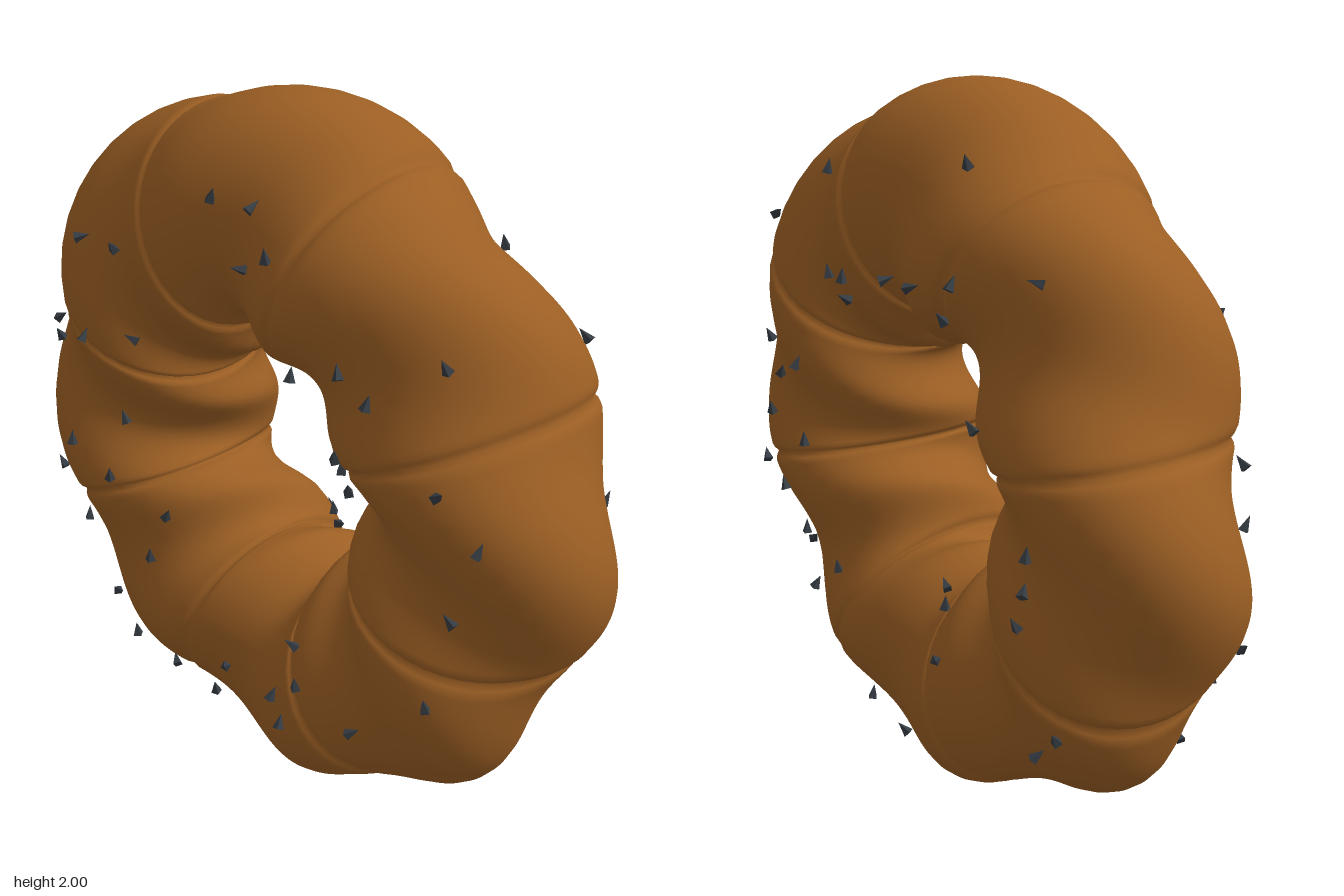
import * as THREE from 'three';
import { mergeVertices } from 'three/addons/utils/BufferGeometryUtils.js';

const RING = 0.648;     // radius of the tube's centre line
const FLAT = 0.91;      // tube is slightly flattened front to back
const CREASE = THREE.MathUtils.degToRad(27);
const STEP = Math.PI / 4;

// Tube radius: eight swirling lumps, plus a slower sway
function tubeRadius(theta, phi) {
  return 0.321 + 0.029 * Math.cos(8 * theta - 2 * phi) + 0.014 * Math.sin(4 * theta - phi);
}

// Depth of the eight narrow grooves that divide the ring
function groove(theta) {
  const offset = theta - CREASE;
  const d = offset - Math.round(offset / STEP) * STEP;
  return 0.017 * Math.exp(-((d / 0.016) ** 2));
}

function ringPoint(theta, phi, r) {
  const rho = RING + r * Math.cos(phi);
  return new THREE.Vector3(rho * Math.cos(theta), 1 + rho * Math.sin(theta), FLAT * r * Math.sin(phi));
}

function ringGeometry() {
  let geo = new THREE.TorusGeometry(RING, 0.3, 40, 360);
  geo.deleteAttribute('uv');
  geo.deleteAttribute('normal');
  geo = mergeVertices(geo);
  const pos = geo.attributes.position;
  for (let i = 0; i < pos.count; i++) {
    const x = pos.getX(i), y = pos.getY(i), z = pos.getZ(i);
    const theta = Math.atan2(y, x);
    const phi = Math.atan2(z, Math.hypot(x, y) - RING);
    const p = ringPoint(theta, phi, tubeRadius(theta, phi) - groove(theta));
    pos.setXYZ(i, p.x, p.y, p.z);
  }
  geo.computeVertexNormals();
  return geo;
}

// Seed places as x, height above the ring's centre
const FRONT_SEEDS = [
  -0.06, 0.78, 0.06, 0.78, 0.15, 0.7, 0.04, 0.63, 0.16, 0.37, -0.58, 0.5, -0.45, 0.52,
  -0.43, 0.26, -0.55, 0.24, -0.76, 0.18, -0.85, 0.07, -0.52, -0.04, -0.67, -0.15,
  -0.51, -0.2, -0.33, -0.28, -0.37, -0.42, -0.8, -0.31, -0.69, -0.44, -0.58, -0.67,
  -0.43, -0.7, -0.35, -0.8, -0.18, -0.81, -0.05, -0.64, 0.21, -0.56, 0.25, -0.62,
  0.25, -0.4, 0.3, -0.48, 0.48, -0.54, 0.73, -0.3, 0.76, -0.05, 0.85, 0.2, 0.75, 0.31,
  0.67, 0.58, 0.43, 0.51, 0.52, 0.46, 0.44, 0.29, 0.45, 0.18, 0.36, 0.18,
];
const BACK_SEEDS = [
  0.31, 0.46, 0.26, 0.4, 0.21, 0.48, 0.05, 0.51, -0.23, 0.85, -0.58, 0.66, -0.37, 0.62,
  -0.21, 0.57, -0.29, 0.51, -0.44, 0.28, 0.51, 0.13, 0.63, 0.06, 0.7, -0.08, 0.53, -0.12,
  0.58, -0.27, 0.55, -0.41, 0.51, -0.43, 0.38, -0.47, -0.06, -0.38, -0.15, -0.38,
  -0.27, -0.46, -0.68, 0.04, -0.67, -0.06, -0.66, -0.15, -0.75, -0.43, -0.67, -0.52,
  0.23, -0.81, 0.04, -0.83, 0.45, 0.68, 0.68, 0.5, 0.8, 0.1, 0.75, -0.25, 0.55, -0.6,
];

function addSeeds(group, places, side, geo, material) {
  for (let i = 0; i < places.length; i += 2) {
    const [x, y] = [places[i], places[i + 1]];
    const theta = Math.atan2(y, x), rho = Math.hypot(x, y);
    // Find the tube angle that lies under this place
    let phi = side * Math.PI / 2;
    for (let k = 0; k < 6; k++) {
      const c = (rho - RING) / tubeRadius(theta, phi);
      phi = side * Math.acos(THREE.MathUtils.clamp(c, -0.97, 0.97));
    }
    const seed = new THREE.Mesh(geo, material);
    seed.name = 'seed';
    seed.position.copy(ringPoint(theta, phi, tubeRadius(theta, phi) + 0.024));
    seed.rotation.set(0.5 * Math.sin(i * 2.3), i * 0.7, -0.35 + 0.7 * Math.sin(i * 1.7));
    group.add(seed);
  }
}

export function createModel() {
  const model = new THREE.Group();
  model.name = 'seededBreadRing';

  const crust = new THREE.MeshStandardMaterial({ color: 0x9c5f24 });
  crust.name = 'brown crust';
  const seedDark = new THREE.MeshStandardMaterial({ color: 0x343b42 });
  seedDark.name = 'dark seed';

  const ring = new THREE.Mesh(ringGeometry(), crust);
  ring.name = 'breadRing';
  model.add(ring);

  // Small pointed seeds, just clear of the crust
  const seedGeo = new THREE.ConeGeometry(0.016, 0.042, 4).toNonIndexed();
  seedGeo.computeVertexNormals();
  const seeds = new THREE.Group();
  seeds.name = 'seeds';
  addSeeds(seeds, FRONT_SEEDS, 1, seedGeo, seedDark);
  addSeeds(seeds, BACK_SEEDS, -1, seedGeo, seedDark);
  model.add(seeds);

  return model;
}
